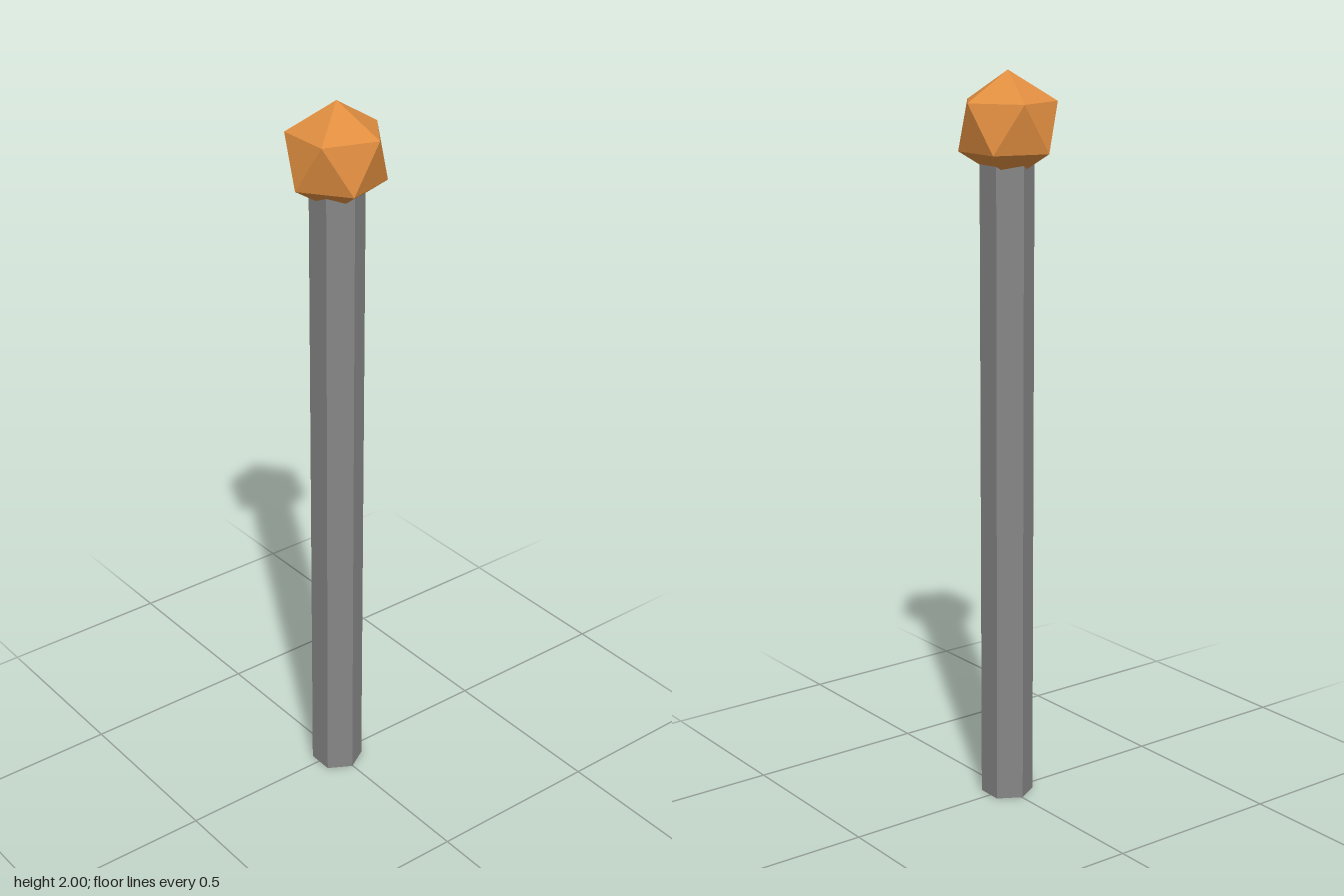
import * as THREE from 'three';

export function createModel() {
  const group = new THREE.Group();
  const grey = new THREE.MeshStandardMaterial({ color: 0x868686, flatShading: true });
  grey.name = 'grey metal';
  const orange = new THREE.MeshStandardMaterial({ color: 0xe08e40, flatShading: true });
  orange.name = 'orange';

  // Six-sided pole with a corner facing the front, ending inside the knob
  const poleHeight = 1.79;
  const pole = new THREE.Mesh(new THREE.CylinderGeometry(0.072, 0.072, poleHeight, 6), grey);
  pole.name = 'pole';
  pole.position.set(-0.002, poleHeight / 2, 0.005);
  group.add(pole);

  // Twenty-sided knob, tipped so that one corner points straight up
  const radius = 0.144;
  const knobGeometry = new THREE.IcosahedronGeometry(radius, 0);
  knobGeometry.rotateZ(-Math.atan(2 / (1 + Math.sqrt(5))));
  const knob = new THREE.Mesh(knobGeometry, orange);
  knob.name = 'knob';
  knob.position.set(0, 2 - radius, -0.001);
  group.add(knob);

  return group;
}
